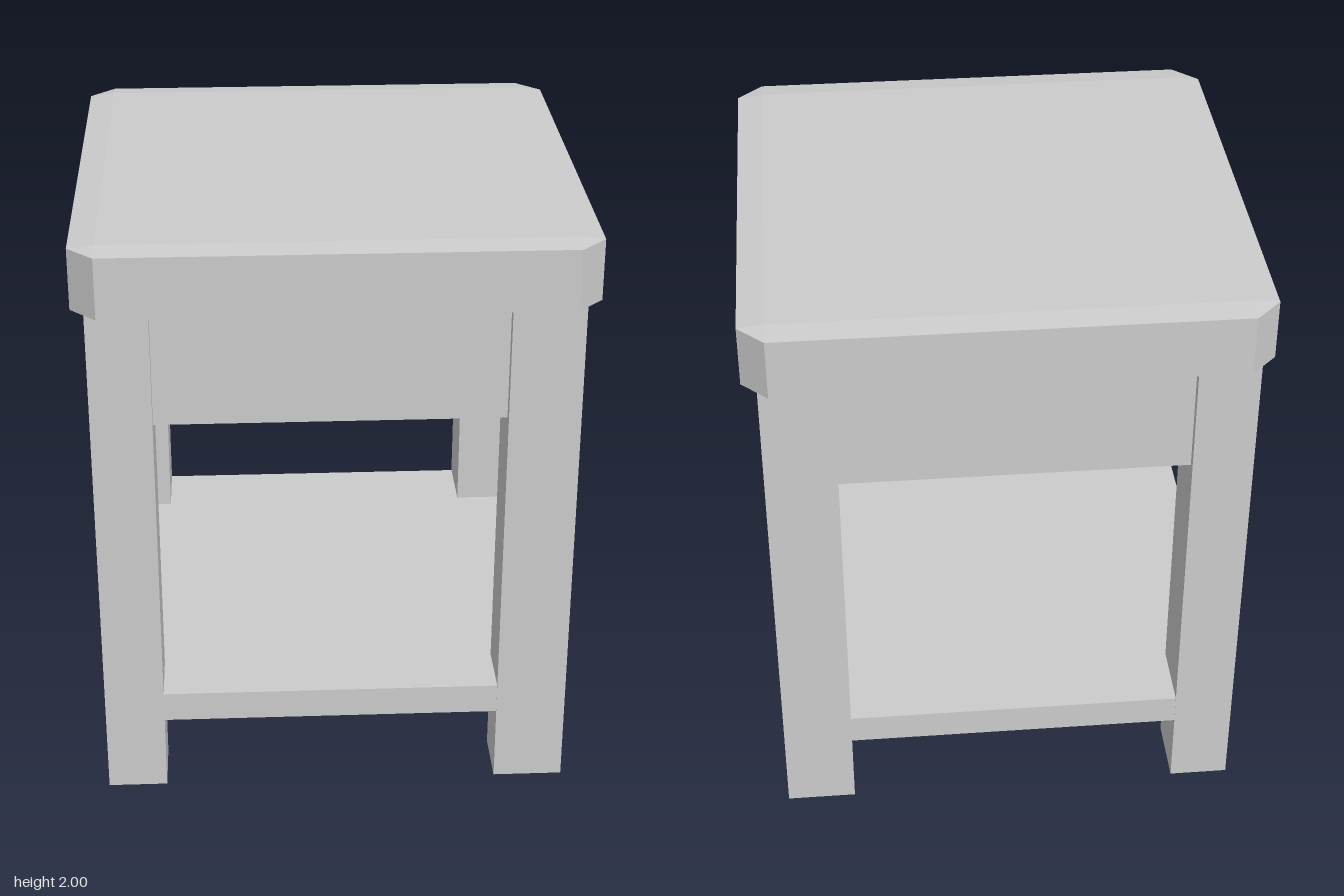
import * as THREE from 'three';
import { ConvexGeometry } from 'three/addons/geometries/ConvexGeometry.js';

const material = new THREE.MeshStandardMaterial({ color: 0xcccccc, flatShading: true });

// Box given by its minimum and maximum corners
function block(name, [x0, y0, z0], [x1, y1, z1]) {
  const mesh = new THREE.Mesh(new THREE.BoxGeometry(x1 - x0, y1 - y0, z1 - z0), material);
  mesh.name = name;
  mesh.position.set((x0 + x1) / 2, (y0 + y1) / 2, (z0 + z1) / 2);
  return mesh;
}

// Slab with cut corners and shallow bevels above and below
function bevelledSlab(name, half, inner, bottom, top, bevel) {
  const points = [];
  for (const sx of [-1, 1]) {
    for (const sz of [-1, 1]) {
      for (const y of [bottom, top]) points.push(new THREE.Vector3(sx * inner, y, sz * inner));
      for (const y of [bottom + bevel, top - bevel]) {
        points.push(new THREE.Vector3(sx * half, y, sz * inner));
        points.push(new THREE.Vector3(sx * inner, y, sz * half));
      }
    }
  }
  const mesh = new THREE.Mesh(new ConvexGeometry(points), material);
  mesh.name = name;
  return mesh;
}

export function createModel() {
  const group = new THREE.Group();
  group.name = 'sideTable';

  group.add(bevelledSlab('tableTop', 0.835, 0.75, 1.775, 2, 0.01));

  // Legs: the right and back ones are a little thicker
  const xSpans = { Right: [-0.79, -0.59], Left: [0.55, 0.785] };
  const zSpans = { front: [0.59, 0.79], back: [-0.785, -0.55] };
  for (const [side, [x0, x1]] of Object.entries(xSpans)) {
    for (const [end, [z0, z1]] of Object.entries(zSpans)) {
      group.add(block(`${end}${side}Leg`, [x0, 0, z0], [x1, 1.78, z1]));
    }
  }

  // Closed apron box, set back from the legs
  group.add(block('apron', [-0.755, 1.38, -0.755], [0.75, 1.777, 0.755]));

  // Lower shelf, flush with the legs
  group.add(block('shelf', [-0.788, 0.265, -0.783], [0.783, 0.37, 0.788]));

  return group;
}
